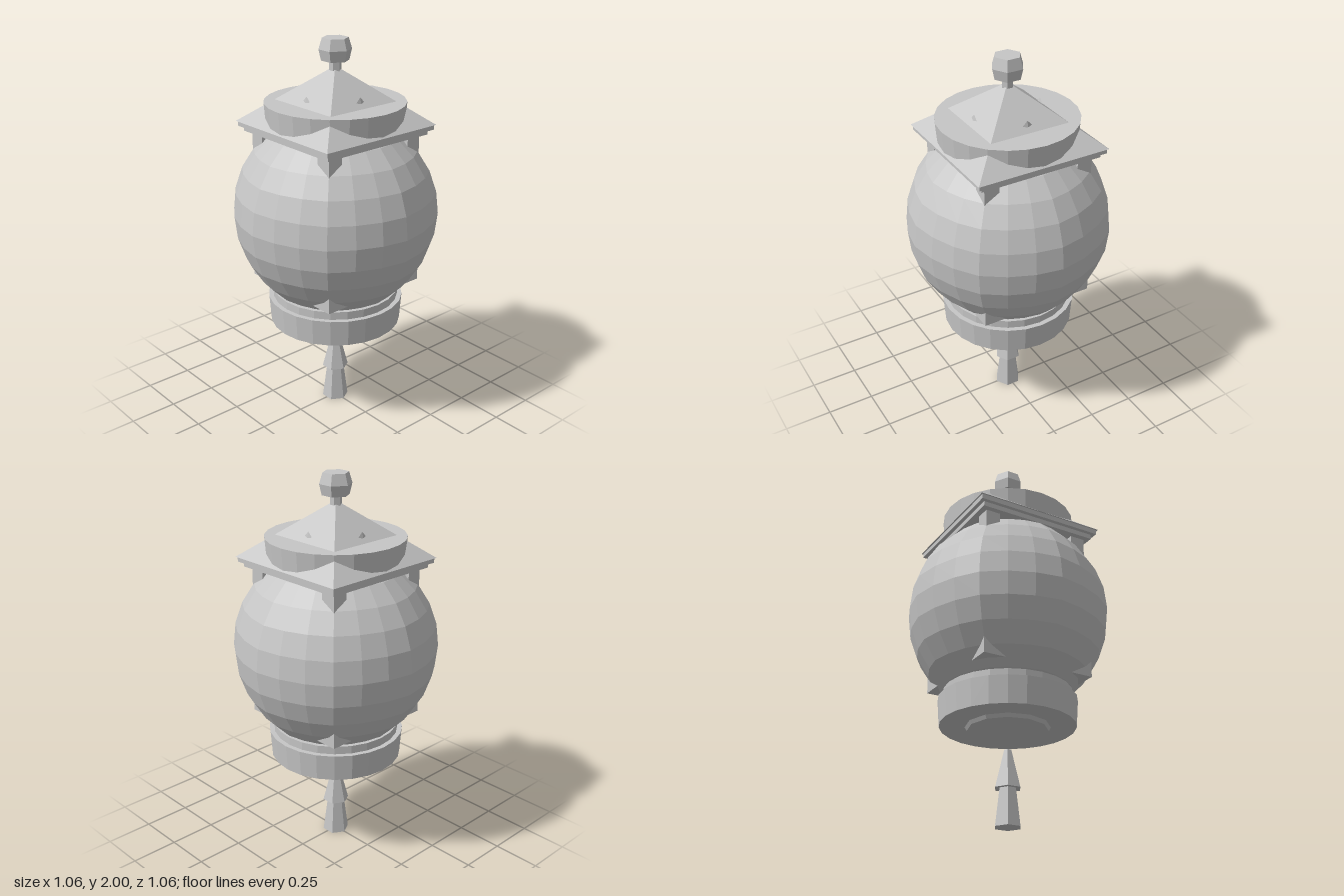
import * as THREE from 'three';

export function createModel() {
  const group = new THREE.Group();
  const grey = new THREE.MeshStandardMaterial({ color: 0xc6c6c6, flatShading: true });
  grey.name = 'light grey';

  const add = (name, geometry, x = 0, y = 0, z = 0, turn = 0) => {
    const mesh = new THREE.Mesh(geometry, grey);
    mesh.name = name;
    mesh.position.set(x, y, z);
    mesh.rotation.y = turn;
    group.add(mesh);
    return mesh;
  };
  // upright tapered prism between two heights
  const prism = (name, rTop, rBottom, y0, y1, sides, turn = 0) =>
    add(name, new THREE.CylinderGeometry(rTop, rBottom, y1 - y0, sides), 0, (y0 + y1) / 2, 0, turn);
  // square slab between two heights
  const slab = (name, half, y0, y1) =>
    add(name, new THREE.BoxGeometry(half * 2, y1 - y0, half * 2), 0, (y0 + y1) / 2, 0);

  // round shade: eight gores, slightly drawn in between the ribs
  const shade = new THREE.SphereGeometry(0.528, 24, 14);
  const p = shade.attributes.position;
  for (let i = 0; i < p.count; i++) {
    const step = Math.round(Math.atan2(p.getZ(i), p.getX(i)) / (Math.PI / 12));
    const k = step % 3 === 0 ? 1 : 0.986;
    p.setX(i, p.getX(i) * k);
    p.setZ(i, p.getZ(i) * k);
  }
  add('shade', shade, 0, 1.108, 0);

  // base: neck, collar and bottom plate
  prism('baseNeck', 0.33, 0.33, 0.62, 0.685, 24);
  prism('baseCollar', 0.355, 0.345, 0.503, 0.643, 24);
  prism('bottomPlate', 0.22, 0.205, 0.485, 0.51, 12);

  // square frame whose corners break through the shade
  slab('lowerFrame', 0.307, 0.73, 0.86);
  for (const sx of [-1, 1]) {
    for (const sz of [-1, 1]) {
      add('cornerPost', new THREE.BoxGeometry(0.08, 0.72, 0.08), sx * 0.256, 1.17, sz * 0.256);
    }
  }

  // pyramid roof on two stepped eaves, with a round collar around it
  slab('lowerEave', 0.325, 1.525, 1.552);
  slab('upperEave', 0.346, 1.55, 1.577);
  const roofHeight = 0.288;
  add('roof', new THREE.ConeGeometry(0.354 * Math.SQRT2, roofHeight, 4), 0, 1.575 + roofHeight / 2, 0, Math.PI / 4);
  prism('topCollar', 0.355, 0.345, 1.555, 1.69, 24);

  // small nibs on the four roof faces
  for (let i = 0; i < 4; i++) {
    const a = (i * Math.PI) / 2;
    const nib = add('roofNib', new THREE.ConeGeometry(0.03, 0.03, 4),
      Math.sin(a) * 0.182, 1.725, Math.cos(a) * 0.182, a);
    nib.scale.z = 0.25;
  }

  // six-sided finial
  const hex = Math.PI / 6;
  prism('finialStem', 0.03, 0.03, 1.83, 1.9, 6, hex);
  prism('finialLower', 0.083, 0.07, 1.89, 1.945, 6, hex);
  prism('finialUpper', 0.066, 0.083, 1.945, 2, 6, hex);

  // hanging tassel
  prism('tasselTop', 0.02, 0.07, 0.19, 0.385, 6, hex);
  prism('tasselSkirt', 0.045, 0.07, 0, 0.195, 6, hex);

  return group;
}
